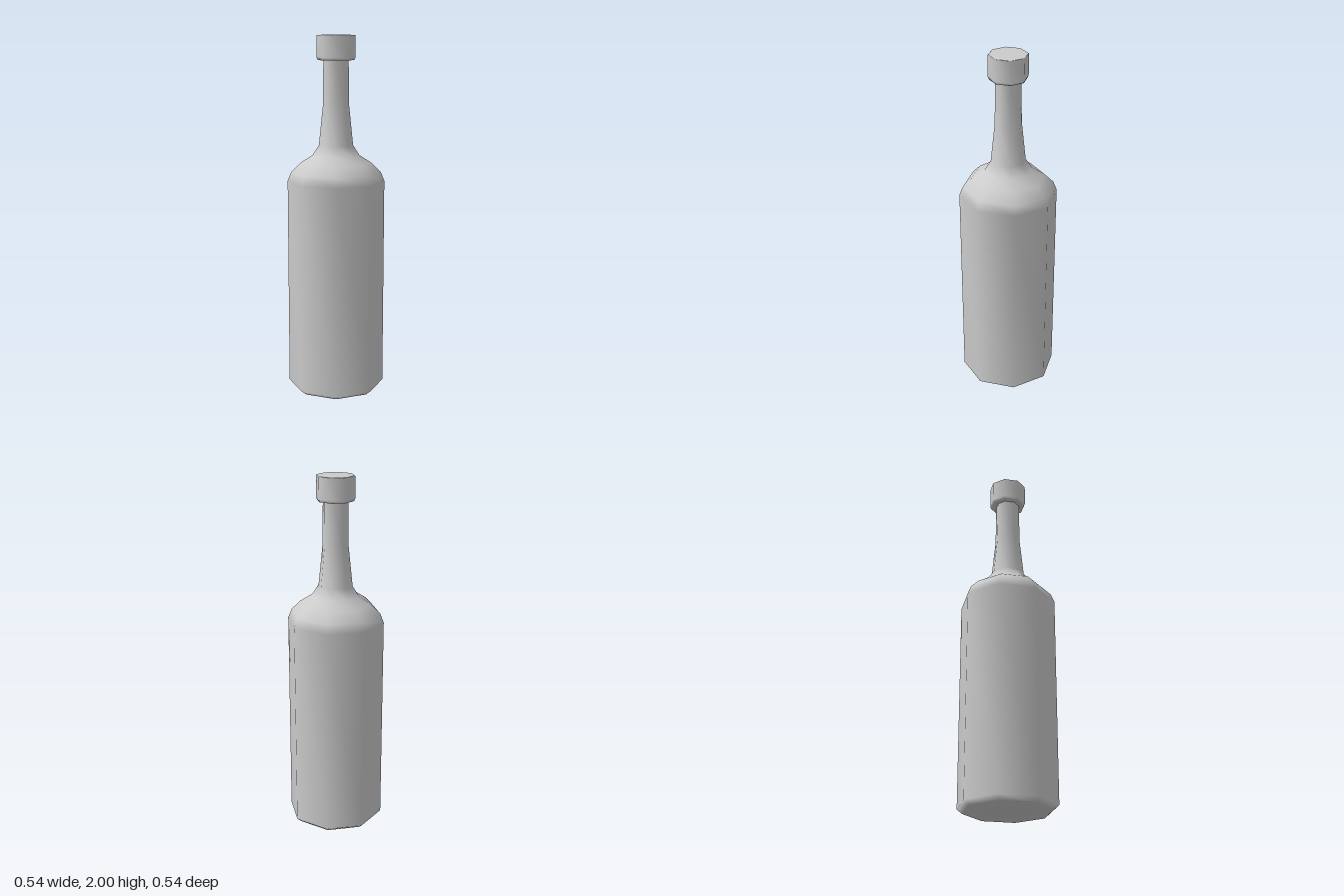
import * as THREE from 'three';
import { mergeVertices } from 'three/addons/utils/BufferGeometryUtils.js';

const SIDES = 8;

// Eight-sided turned part, welded so the shading runs smoothly over every edge
function turned(name, profile, material) {
  const points = profile.map(([r, y]) => new THREE.Vector2(r, y));
  let geometry = new THREE.LatheGeometry(points, SIDES);
  geometry.deleteAttribute('uv');
  geometry.deleteAttribute('normal');
  geometry = mergeVertices(geometry, 1e-4);
  geometry.computeVertexNormals();
  const mesh = new THREE.Mesh(geometry, material);
  mesh.name = name;
  return mesh;
}

export function createModel() {
  const group = new THREE.Group();
  group.name = 'bottle';
  const material = new THREE.MeshStandardMaterial({ color: 0xcccccc, side: THREE.DoubleSide });

  // Bevelled base, straight wall, rounded shoulder and tapering neck
  group.add(turned('bottleBody', [
    [0, 0], [0.24, 0.005], [0.27, 0.03],
    [0.27, 1.2], [0.25, 1.25], [0.2, 1.3], [0.13, 1.345],
    [0.095, 1.4], [0.072, 1.62], [0.069, 1.87],
  ], material));

  // Wider stopper with a small bevel below
  group.add(turned('cap', [
    [0.069, 1.865], [0.1, 1.865], [0.106, 1.88], [0.106, 1.997], [0.102, 2], [0, 2],
  ], material));

  return group;
}
